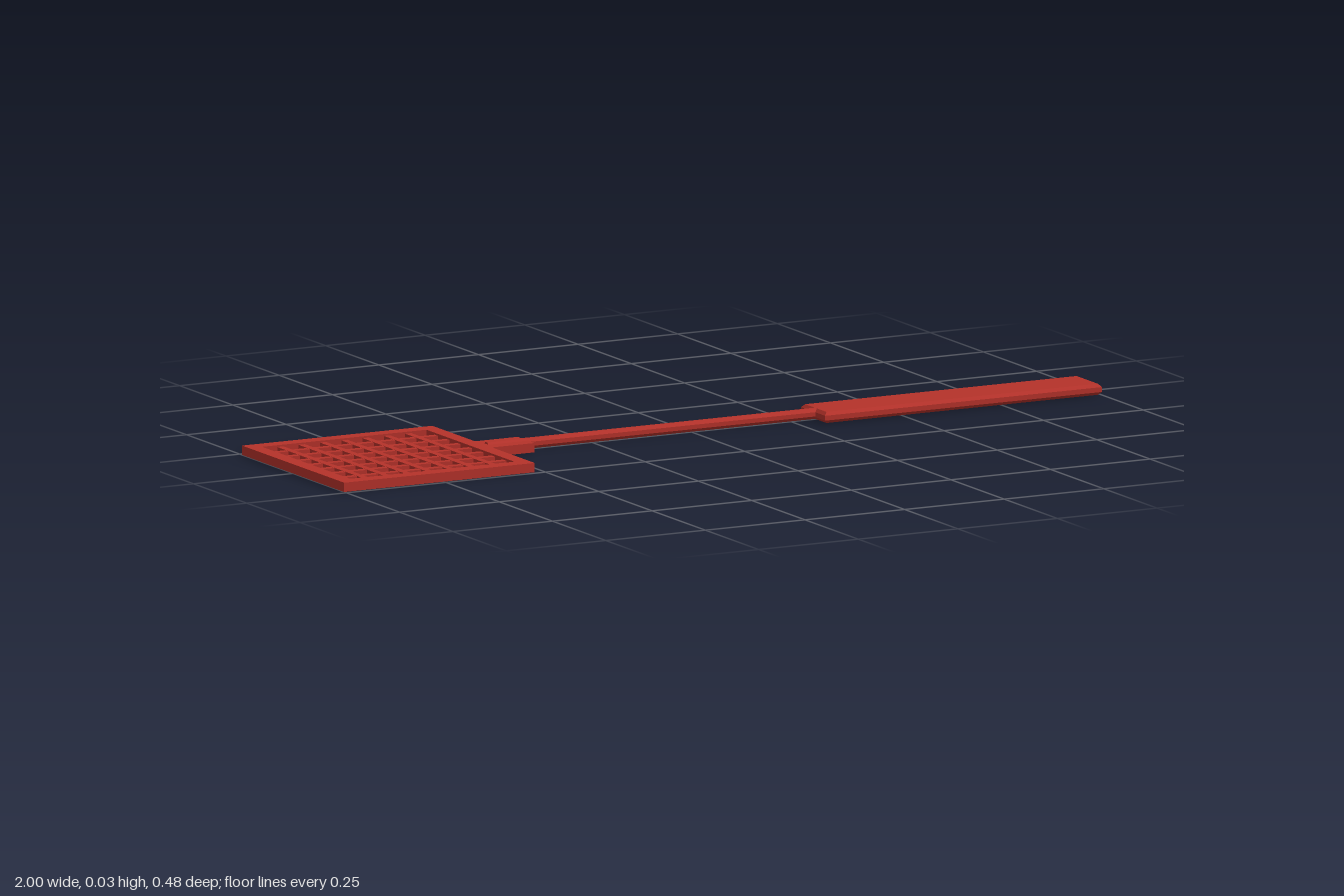
import * as THREE from 'three';

export function createModel() {
  const model = new THREE.Group();
  model.name = 'flySwatter';
  const red = new THREE.MeshStandardMaterial({ color: 0xb5322a, flatShading: true });
  red.name = 'red plastic';

  const add = (parent, name, geometry, x, y, z) => {
    const mesh = new THREE.Mesh(geometry, red);
    mesh.name = name;
    mesh.position.set(x, y, z);
    parent.add(mesh);
    return mesh;
  };
  const rect = (path, w, h) => {
    path.moveTo(-w / 2, -h / 2);
    path.lineTo(w / 2, -h / 2);
    path.lineTo(w / 2, h / 2);
    path.lineTo(-w / 2, h / 2);
    path.closePath();
    return path;
  };

  // Square head: outer frame with a lattice of slightly thinner bars
  const head = new THREE.Group();
  head.name = 'head';
  head.position.x = -0.761;
  model.add(head);
  const holes = 8, hole = 0.038, pitch = 0.0535;
  const inner = (holes - 1) * pitch + hole;
  const frameShape = rect(new THREE.Shape(), 0.478, 0.48);
  frameShape.holes.push(rect(new THREE.Path(), inner, inner));
  const frame = new THREE.ExtrudeGeometry(frameShape, { depth: 0.021, bevelEnabled: false });
  frame.rotateX(-Math.PI / 2);
  add(head, 'frame', frame, 0, 0, 0);
  for (let i = 1; i < holes; i++) {
    const p = (i - holes / 2) * pitch;
    const w = pitch - hole;
    add(head, 'longBar', new THREE.BoxGeometry(inner, 0.012, w), 0, 0.0105, p);
    add(head, 'crossBar', new THREE.BoxGeometry(w, 0.013, inner), p, 0.0105, 0);
  }

  // Socket joining the head to the rod
  add(model, 'socket', new THREE.BoxGeometry(0.11, 0.021, 0.08), -0.47, 0.0105, 0);

  // Slim rod
  const rod = new THREE.CylinderGeometry(0.0125, 0.0125, 0.84, 8);
  rod.rotateY(Math.PI / 8);
  rod.rotateZ(Math.PI / 2);
  add(model, 'rod', rod, -0.095, 0.0135, 0);

  // Flat grip, chamfered all round
  const bevel = 0.007;
  const grip = new THREE.ExtrudeGeometry(rect(new THREE.Shape(), 0.681, 0.1), {
    depth: 0.011, bevelThickness: bevel, bevelSize: bevel, bevelSegments: 1,
  });
  grip.rotateX(-Math.PI / 2);
  add(model, 'grip', grip, 0.6525, bevel, 0);

  return model;
}
